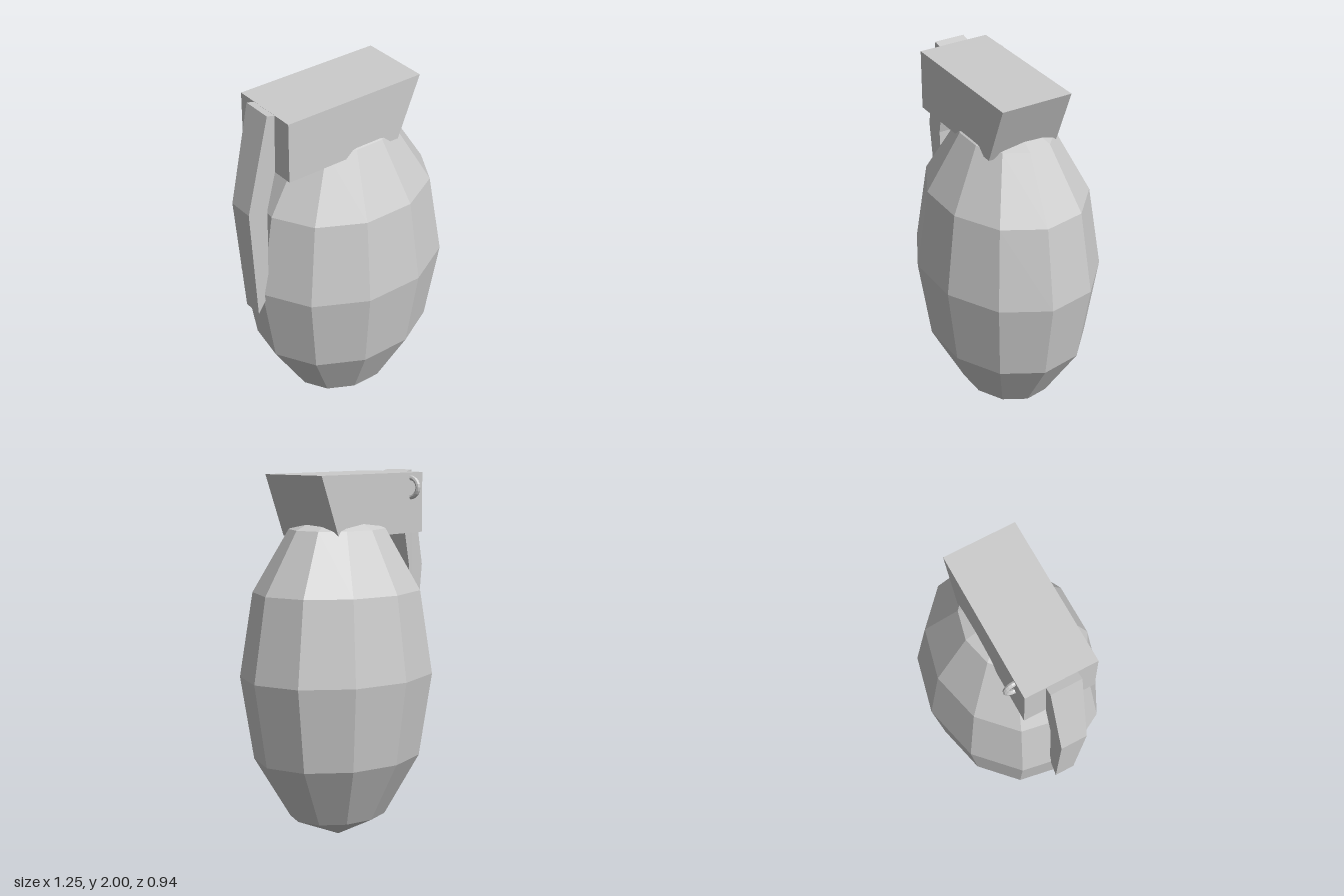
import * as THREE from 'three';

const material = new THREE.MeshStandardMaterial({ color: 0xcccccc, flatShading: true });

function addMesh(group, geometry, name) {
  const mesh = new THREE.Mesh(geometry, material);
  mesh.name = name;
  group.add(mesh);
  return mesh;
}

// Solid with a side outline in x and y, spanning z from -0.5 to 0.5
function slab(points) {
  const shape = new THREE.Shape(points.map(([x, y]) => new THREE.Vector2(x, y)));
  return new THREE.ExtrudeGeometry(shape, { depth: 1, bevelEnabled: false }).translate(0, 0, -0.5);
}

export function createModel() {
  const model = new THREE.Group();
  model.name = 'grenade';

  // Faceted egg-shaped body, eleven sides
  const body = addMesh(model, new THREE.SphereGeometry(1, 11, 6, -Math.PI / 2), 'body');
  body.scale.set(0.587, 0.91, 0.478);
  body.position.set(0.04, 0.91, 0);

  // Head block with a slanted end
  const head = slab([[-0.46, 1.66], [0.235, 1.66], [0.37, 1.99], [-0.46, 1.99]]);
  head.scale(1, 1, 0.4).translate(0, 0, 0.02);
  addMesh(model, head, 'head');

  // Bent safety lever, narrowing towards its lower end
  const lever = slab([
    [-0.505, 2], [-0.625, 1.46], [-0.575, 0.8], [-0.51, 0.9],
    [-0.51, 1.45], [-0.46, 1.66], [-0.455, 1.988],
  ]);
  const pos = lever.attributes.position;
  for (let i = 0; i < pos.count; i++) {
    const y = pos.getY(i);
    const width = y > 1.46
      ? THREE.MathUtils.mapLinear(y, 1.46, 2, 0.146, 0.172)
      : THREE.MathUtils.mapLinear(y, 0.8, 1.46, 0.11, 0.146);
    pos.setZ(i, 0.02 + pos.getZ(i) * width);
  }
  lever.computeVertexNormals();
  addMesh(model, lever, 'lever');

  // Pull ring, half sunk into the back of the head
  const ring = addMesh(model, new THREE.TorusGeometry(0.052, 0.014, 8, 20), 'pullRing');
  ring.rotation.y = Math.PI / 2;
  ring.position.set(-0.36, 1.908, -0.177);

  return model;
}
